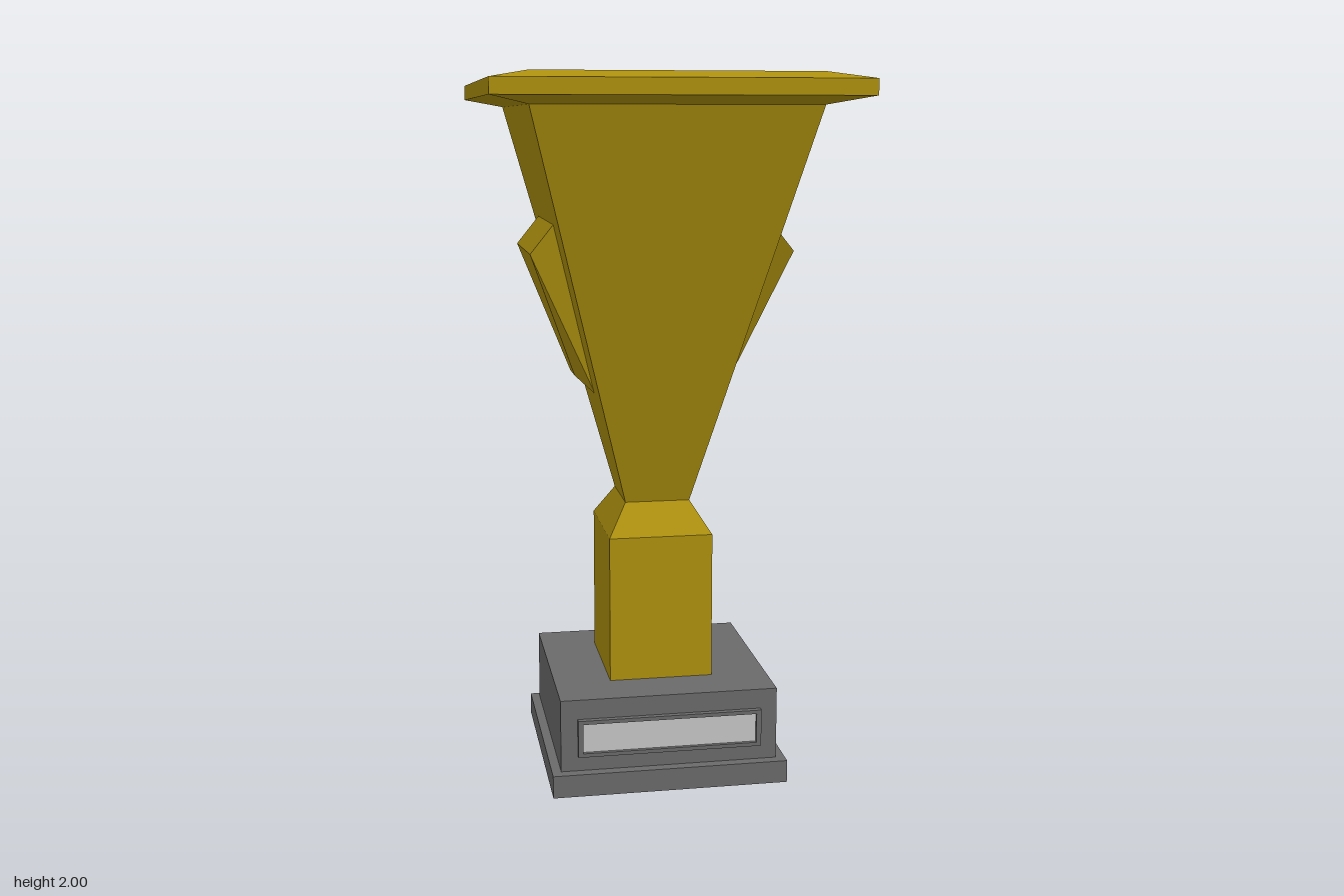
import * as THREE from 'three';

const material = (name, color) => {
  const m = new THREE.MeshStandardMaterial({ color });
  m.name = name;
  return m;
};

// Joins four-cornered rings (counter-clockwise seen from the end) with flat faces and caps the end
function loft(rings) {
  const pos = [];
  const quad = (a, b, c, d) => pos.push(...a, ...b, ...c, ...a, ...c, ...d);
  for (let r = 0; r < rings.length - 1; r++) {
    for (let i = 0; i < 4; i++) {
      const j = (i + 1) % 4;
      quad(rings[r][i], rings[r][j], rings[r + 1][j], rings[r + 1][i]);
    }
  }
  quad(...rings[rings.length - 1]);
  const g = new THREE.BufferGeometry();
  g.setAttribute('position', new THREE.Float32BufferAttribute(pos, 3));
  g.computeVertexNormals();
  return g;
}

// Horizontal rectangle with half-sizes x and z at height y
const level = (y, x, z) => [[x, y, z], [x, y, -z], [-x, y, -z], [-x, y, z]];

const rectangle = (Type, x, y) => {
  const s = new Type();
  s.moveTo(-x, -y);
  s.lineTo(x, -y);
  s.lineTo(x, y);
  s.lineTo(-x, y);
  s.closePath();
  return s;
};

export function createModel() {
  const group = new THREE.Group();
  const gold = material('gold', 0xae910f);
  const grey = material('dark grey', 0x6a6a6a);
  const silver = material('silver', 0xc6c6c6);

  const add = (name, geometry, mat, x = 0, y = 0, z = 0) => {
    const mesh = new THREE.Mesh(geometry, mat);
    mesh.name = name;
    mesh.position.set(x, y, z);
    group.add(mesh);
    return mesh;
  };

  // Base
  add('plinth', new THREE.BoxGeometry(0.676, 0.065, 0.663), grey, 0, 0.0325, 0.011);
  add('baseBlock', new THREE.BoxGeometry(0.624, 0.21, 0.608), grey, 0, 0.17, 0.008);

  // Name plate frame with a recessed plate
  const frame = rectangle(THREE.Shape, 0.264, 0.054);
  frame.holes.push(rectangle(THREE.Path, 0.25, 0.043));
  add('plateFrame', new THREE.ExtrudeGeometry(frame, { depth: 0.016, bevelEnabled: false }), grey, 0, 0.164, 0.312);
  add('plate', new THREE.BoxGeometry(0.5, 0.086, 0.006), silver, 0, 0.164, 0.314);

  // Stem with tapered shoulder
  add('stem', loft([level(0.275, 0.15, 0.17), level(0.7, 0.15, 0.17), level(0.79, 0.094, 0.105)]), gold);

  // Cup: outer wall, bevelled rim, inner wall and floor
  add('cup', loft([
    level(0.79, 0.094, 0.105),
    level(1.915, 0.388, 0.434),
    level(1.937, 0.496, 0.541),
    level(1.98, 0.496, 0.541),
    level(2, 0.388, 0.434),
    level(1.09, 0.15, 0.169),
  ]), gold);

  // Wedge handles on both sides
  const face = (xLow, yLow, xHigh, yHigh) => [
    [xLow, yLow, 0.052], [xLow, yLow, -0.052], [xHigh, yHigh, -0.203], [xHigh, yHigh, 0.203],
  ];
  const handle = loft([face(0.172, 1.1, 0.302, 1.6), face(0.232, 1.157, 0.369, 1.517)]);
  add('leftHandle', handle, gold);
  add('rightHandle', handle, gold).rotation.y = Math.PI;

  return group;
}
